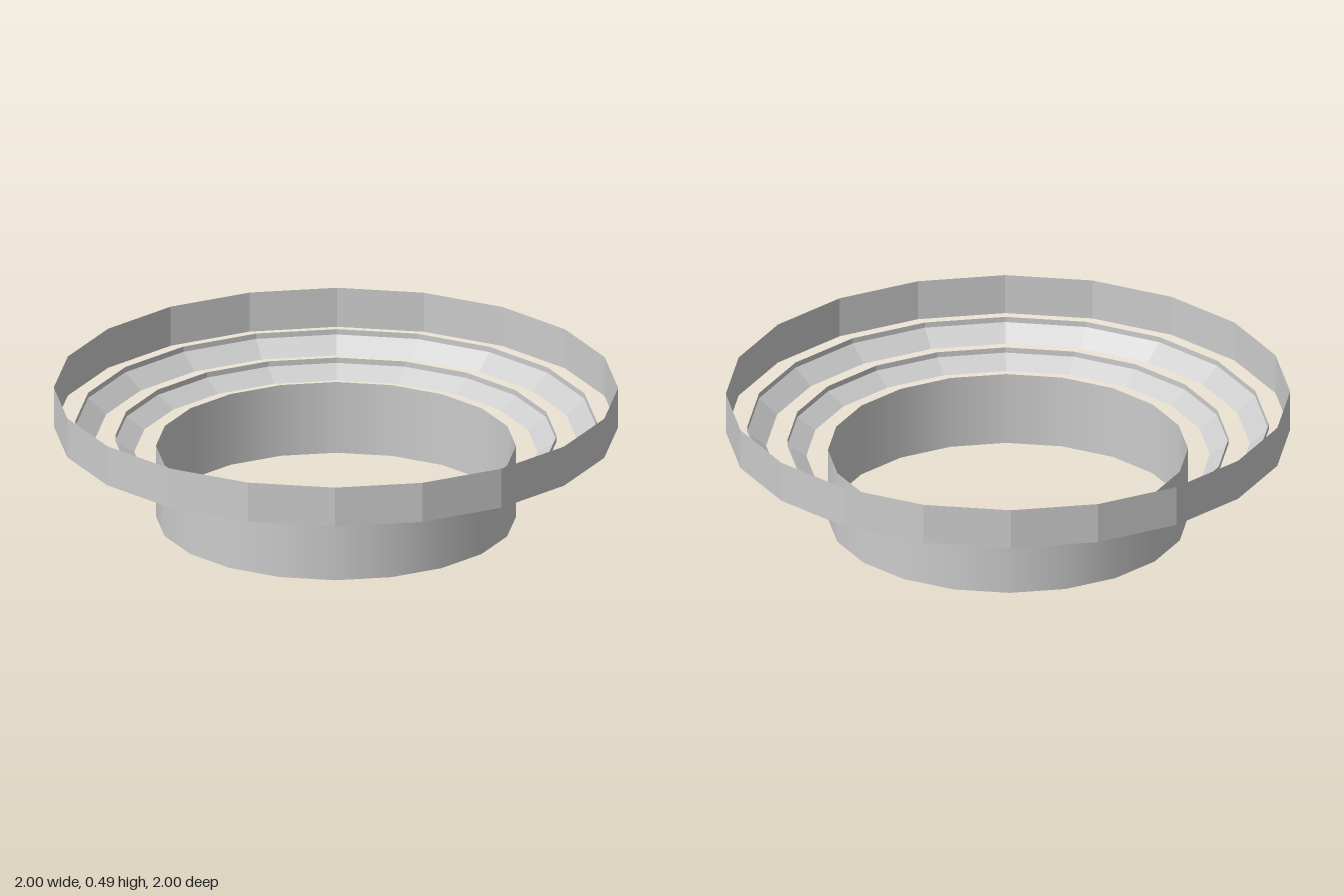
import * as THREE from 'three';

const SIDES = 20;

// Open band swept around y from a short [radius, height] profile
function band(name, profile, flatShading = true) {
  const points = profile.map(([r, y]) => new THREE.Vector2(r, y));
  const material = new THREE.MeshStandardMaterial({
    color: 0xcccccc, flatShading, side: THREE.DoubleSide,
  });
  const mesh = new THREE.Mesh(new THREE.LatheGeometry(points, SIDES), material);
  mesh.name = name;
  return mesh;
}

export function createModel() {
  const group = new THREE.Group();
  group.name = 'steppedRings';
  group.add(
    // Straight collar at the base
    band('baseCollar', [[0.638, 0], [0.638, 0.268]], false),
    // Sloping rings, each with a short upright lip
    band('innerSlopedRing', [[0.715, 0.245], [0.782, 0.286], [0.782, 0.306]]),
    band('outerSlopedRing', [[0.857, 0.286], [0.924, 0.34], [0.924, 0.36]]),
    // Wide upright rim at the top
    band('outerRim', [[1, 0.34], [1, 0.488]]),
  );
  return group;
}
